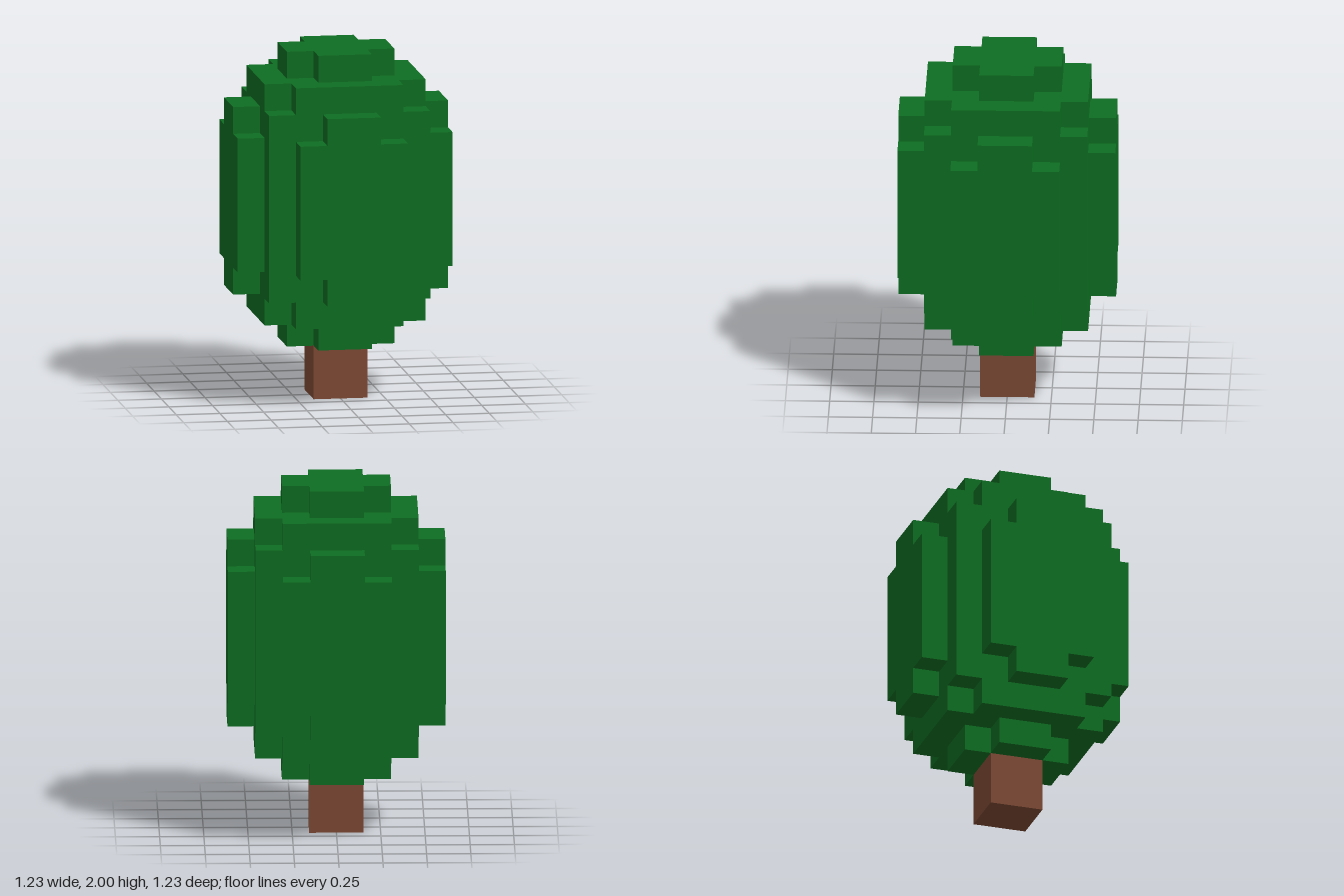
import * as THREE from 'three';

const U = 2 / 13; // one block

// Rectangle with half sizes w, h (in blocks) and a square notch n at each corner
function notchedShape(w, h, n) {
  const pts = [];
  const corners = [[1, 1], [-1, 1], [-1, -1], [1, -1]];
  corners.forEach(([sx, sy], i) => {
    const side = [w * sx, (h - n) * sy];
    const inner = [(w - n) * sx, (h - n) * sy];
    const end = [(w - n) * sx, h * sy];
    const run = n === 0 ? [[w * sx, h * sy]] : [side, inner, end];
    pts.push(...(i % 2 ? run.reverse() : run));
  });
  return new THREE.Shape(pts.map(([x, y]) => new THREE.Vector2(x * U, y * U)));
}

function extrude(shape, depth) {
  return new THREE.ExtrudeGeometry(shape, { depth: depth * U, bevelEnabled: false });
}

export function createModel() {
  const leaf = new THREE.MeshStandardMaterial({ name: 'leaf green', color: 0x0e6e22 });
  const bark = new THREE.MeshStandardMaterial({ name: 'bark brown', color: 0x7e4a35 });

  const tree = new THREE.Group();
  tree.name = 'tree';

  const add = (name, geometry, material, y) => {
    const mesh = new THREE.Mesh(geometry, material);
    mesh.name = name;
    mesh.position.y = y * U;
    tree.add(mesh);
    return mesh;
  };

  // Trunk
  add('trunk', new THREE.BoxGeometry(2 * U, 2 * U, 2 * U), bark, 1);

  // Crown layers: name, half width, corner notch, bottom, height
  const layers = [
    ['crownBottom', 2, 1, 2, 1],
    ['crownLower', 3, 1, 3, 1],
    ['crownCore', 3, 0, 4, 7],
    ['crownUpper', 3, 1, 11, 1],
    ['crownTop', 2, 1, 12, 1],
  ];
  for (const [name, half, notch, y, height] of layers) {
    add(name, extrude(notchedShape(half, half, notch), height).rotateX(-Math.PI / 2), leaf, y);
  }

  // Raised leaf panel on each of the four sides
  const panel = extrude(notchedShape(2, 3.5, 1), 1).translate(0, 0, 3 * U);
  ['front', 'left', 'back', 'right'].forEach((side, i) => {
    add(side + 'LeafPanel', panel, leaf, 7.5).rotation.y = i * Math.PI / 2;
  });

  return tree;
}
